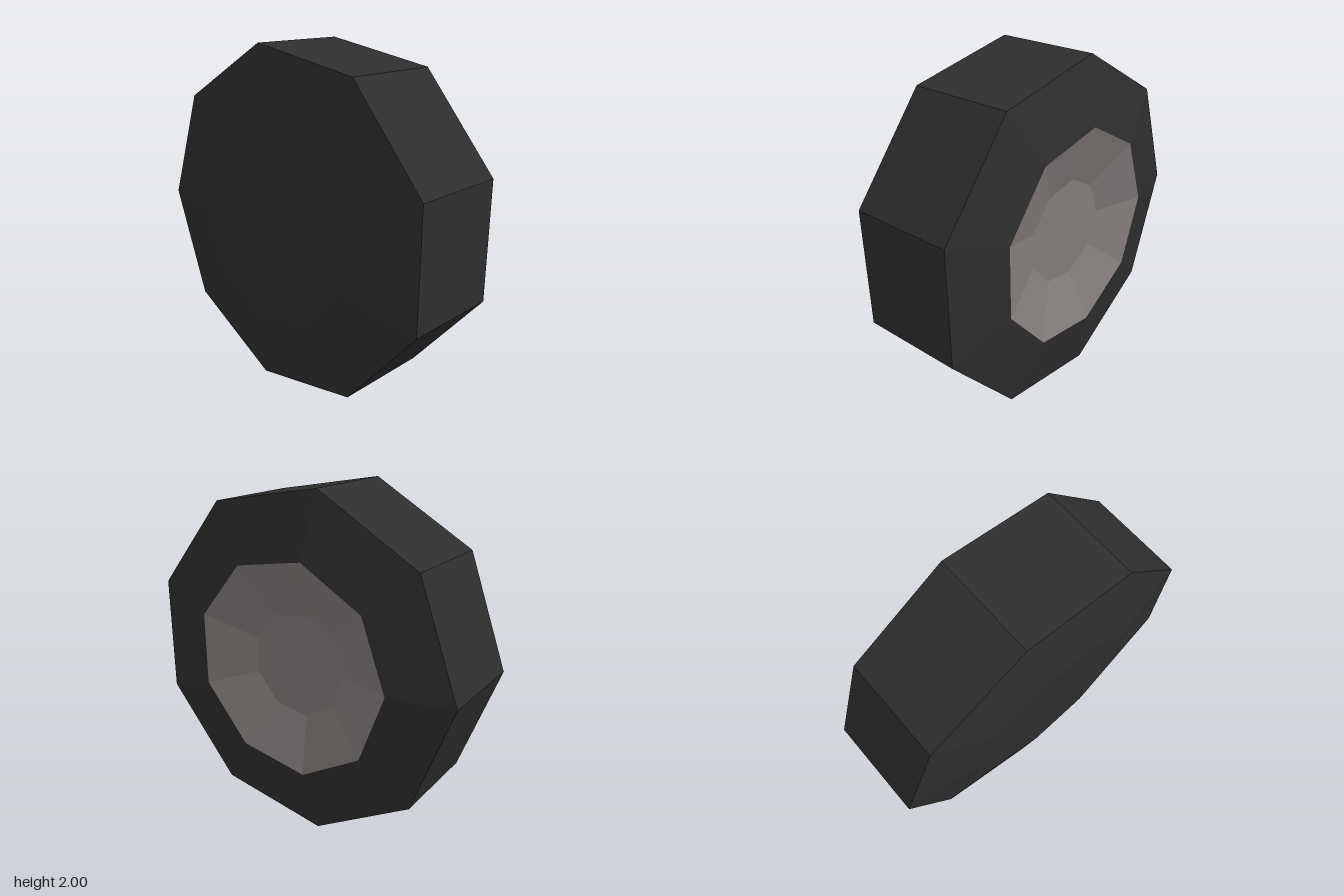
import * as THREE from 'three';

const SIDES = 9;

// Nine-sided ring profile of [radius, x] points, spun about the x axis with flat facets
function spin(name, profile, material) {
  const points = profile.map(([r, x]) => new THREE.Vector2(r, x));
  const lathe = new THREE.LatheGeometry(points, SIDES, Math.PI);
  lathe.rotateZ(-Math.PI / 2);
  // Centre the odd-sided outline on z = 0; the shift grows with the radius
  const pos = lathe.attributes.position;
  for (let i = 0; i < pos.count; i++) {
    pos.setZ(i, pos.getZ(i) + 0.0302 * Math.hypot(pos.getY(i), pos.getZ(i)));
  }
  const geometry = lathe.toNonIndexed();
  geometry.computeVertexNormals();
  const mesh = new THREE.Mesh(geometry, material);
  mesh.name = name;
  mesh.position.y = 1;
  return mesh;
}

export function createModel() {
  const rubber = new THREE.MeshStandardMaterial({ color: 0x2e2e2e });
  rubber.name = 'dark rubber';
  const metal = new THREE.MeshStandardMaterial({ color: 0x837d7b });
  metal.name = 'warm grey metal';

  const wheel = new THREE.Group();
  wheel.name = 'wheel';
  // Tyre: closed back, bevelled walls and flat tread
  wheel.add(spin('tyre', [[0, -0.38], [0.564, -0.38], [1.0154, -0.3], [1.0154, 0.3], [0.637, 0.375]], rubber));
  // Hub: dish sunk into the outer side
  wheel.add(spin('hub', [[0.637, 0.375], [0.31, 0.27], [0, 0.27]], metal));
  return wheel;
}
